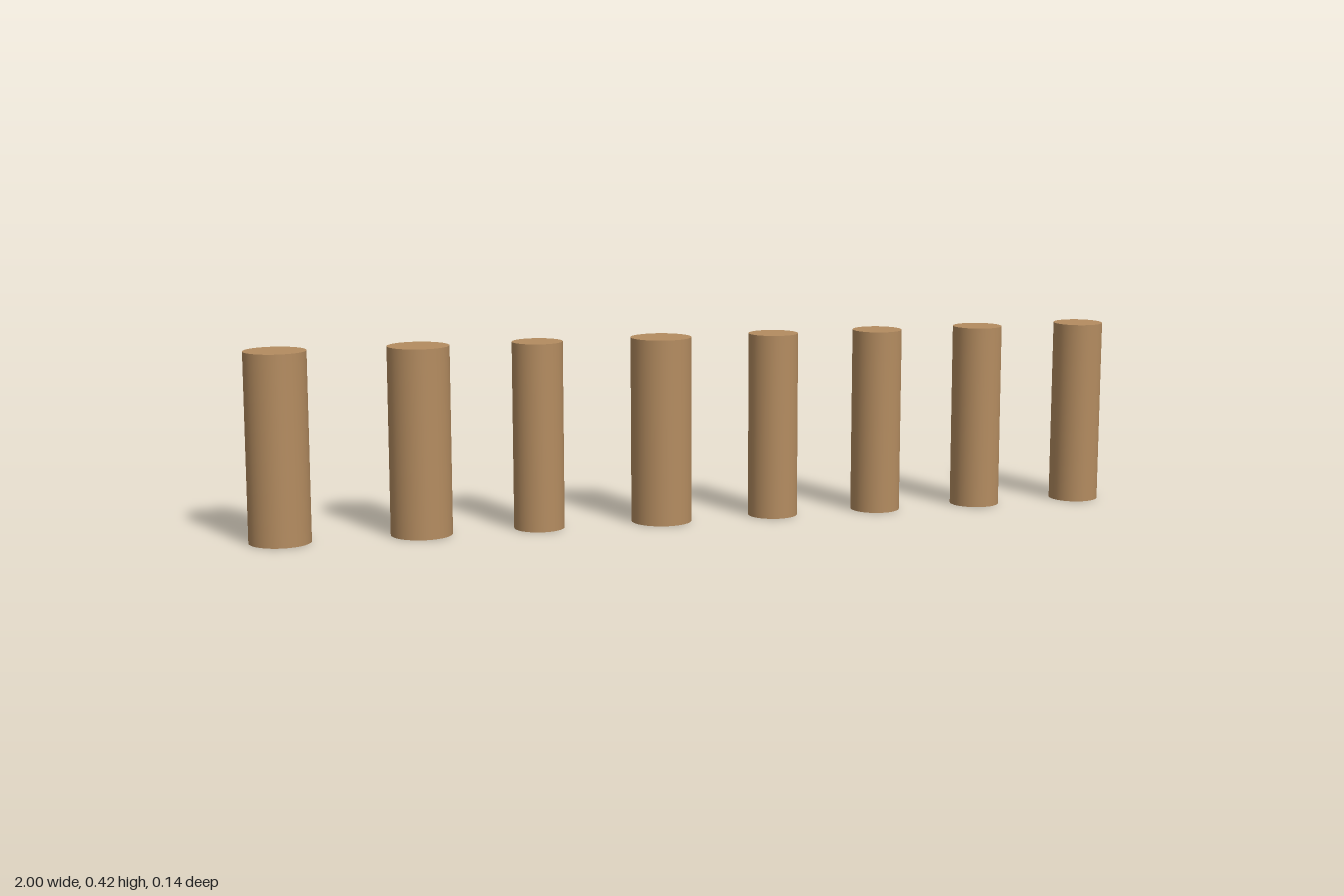
import * as THREE from 'three';

const HEIGHT = 0.42;

// Each post: x position, radius, slight lean about x
const POSTS = [
  [-0.931, 0.0685, -0.005],
  [-0.621, 0.0685, -0.005],
  [-0.356, 0.0565, -0.005],
  [-0.073, 0.0685, -0.005],
  [0.191, 0.0565, -0.003],
  [0.441, 0.0565, 0.003],
  [0.689, 0.0565, -0.003],
  [0.943, 0.0565, 0.005],
];

export function createModel() {
  const wood = new THREE.MeshStandardMaterial({ color: 0xb48c60, side: THREE.DoubleSide });
  wood.name = 'wood';

  const model = new THREE.Group();
  model.name = 'postRow';

  POSTS.forEach(([x, r, lean], i) => {
    const post = new THREE.Group();
    post.name = `post${i + 1}`;

    // Shaft, hollow and open at the foot
    const shaft = new THREE.Mesh(new THREE.CylinderGeometry(r, r, HEIGHT, 32, 1, true), wood);
    shaft.name = 'shaft';

    // Flat top
    const cap = new THREE.Mesh(new THREE.CircleGeometry(r, 32), wood);
    cap.name = 'cap';
    cap.rotation.x = -Math.PI / 2;
    cap.position.y = HEIGHT / 2;

    post.add(shaft, cap);
    post.position.set(x, HEIGHT / 2, 0);
    post.rotation.x = lean;
    model.add(post);
  });

  return model;
}
